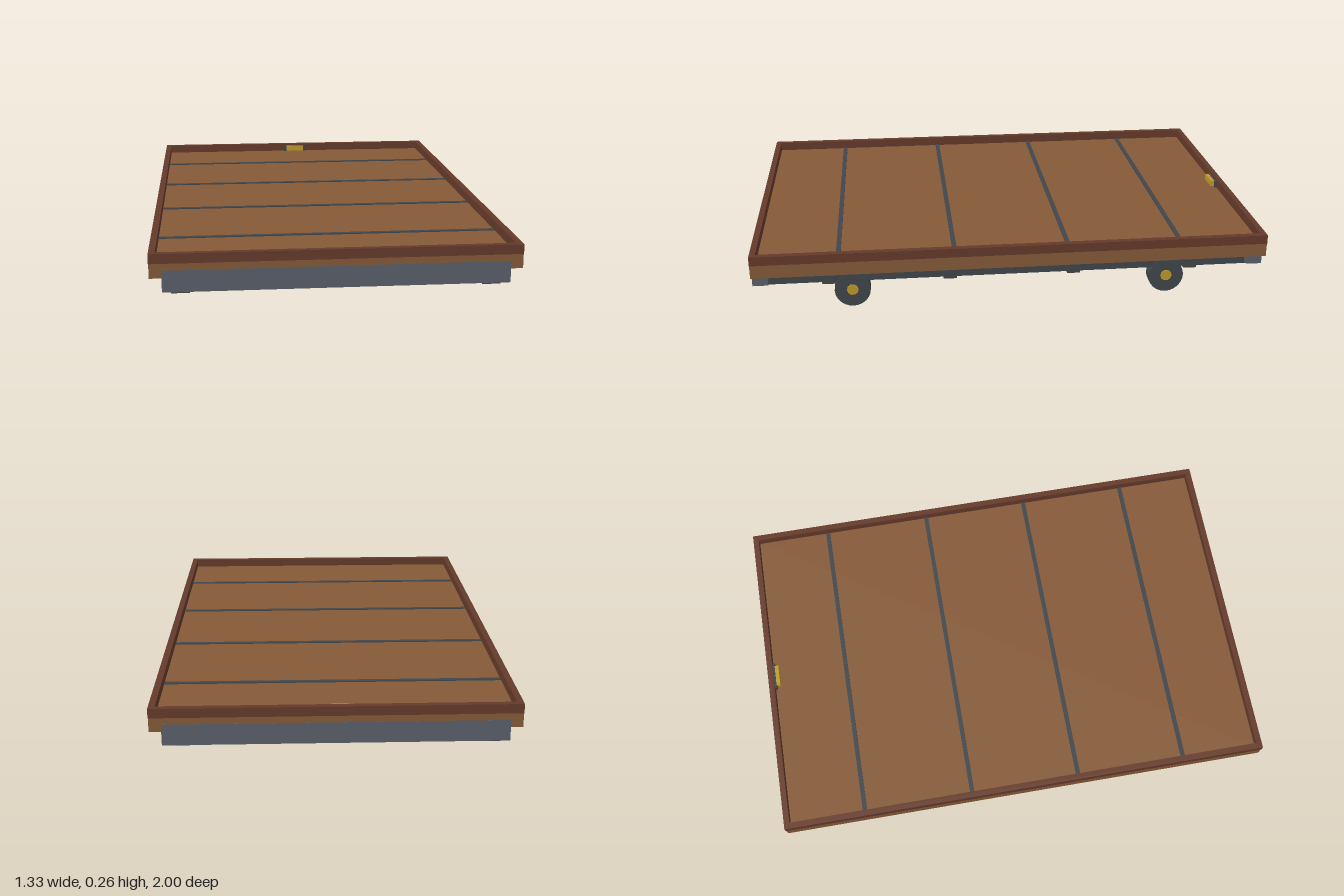
import * as THREE from 'three';

const material = (name, color, flatShading = false) => {
  const m = new THREE.MeshStandardMaterial({ color, flatShading });
  m.name = name;
  return m;
};

export function createModel() {
  const wood = material('deckWood', 0x855a38);
  const rimWood = material('rimWood', 0x653a2b);
  const steel = material('steel', 0x5a616b);
  const iron = material('darkIron', 0x40464b);
  const brass = material('brass', 0xbf9a2c);

  const group = new THREE.Group();
  group.name = 'flatCart';

  const add = (name, geometry, mat, x, y, z) => {
    const mesh = new THREE.Mesh(geometry, mat);
    mesh.name = name;
    mesh.position.set(x, y, z);
    group.add(mesh);
    return mesh;
  };
  // Box given by its minimum and maximum on each axis
  const box = (name, mat, [x0, x1], [y0, y1], [z0, z1]) =>
    add(name, new THREE.BoxGeometry(x1 - x0, y1 - y0, z1 - z0), mat,
      (x0 + x1) / 2, (y0 + y1) / 2, (z0 + z1) / 2);
  // Cylinder lying along x
  const rod = (name, mat, radius, length, sides, x, y, z) => {
    const g = new THREE.CylinderGeometry(radius, radius, length, sides);
    g.rotateZ(Math.PI / 2);
    return add(name, g, mat, x, y, z);
  };

  // Deck
  box('deck', wood, [-0.666, 0.666], [0.17, 0.223], [-0.9995, 0.9995]);

  // Raised rim around the deck
  const outline = new THREE.Shape([
    new THREE.Vector2(-0.667, -1), new THREE.Vector2(0.667, -1),
    new THREE.Vector2(0.667, 1), new THREE.Vector2(-0.667, 1),
  ]);
  outline.holes.push(new THREE.Path([
    new THREE.Vector2(-0.643, -0.977), new THREE.Vector2(-0.643, 0.977),
    new THREE.Vector2(0.643, 0.977), new THREE.Vector2(0.643, -0.977),
  ]));
  const rim = new THREE.ExtrudeGeometry(outline, { depth: 0.036, bevelEnabled: false });
  rim.rotateX(-Math.PI / 2);
  add('rim', rim, rimWood, 0, 0.223, 0);

  // Seam strips and cross members
  for (const z of [-0.67, -0.223, 0.223, 0.67])
    box('seamStrip', iron, [-0.643, 0.643], [0.22, 0.227], [z - 0.009, z + 0.009]);
  for (const z of [-0.71, -0.243, 0.243, 0.71])
    box('crossMember', iron, [-0.62, 0.62], [0.112, 0.172], [z - 0.026, z + 0.026]);

  // Side rails
  for (const s of [-1, 1]) {
    const x = s * 0.558;
    box('sideRail', iron, [x - 0.033, x + 0.033], [0.107, 0.171], [-0.978, 0.978]);
  }

  for (const s of [-1, 1]) {
    // End beams
    const z = s * 0.97;
    box('endBeam', steel, [-0.622, 0.622], [0.118, 0.198], [z - 0.03, z + 0.03]);

    // Axles with a stiffening beam above
    const az = s * 0.622;
    box('axleBeam', steel, [-0.547, 0.547], [0.076, 0.108], [az - 0.018, az + 0.018]);
    rod('axle', steel, 0.02, 1.1, 12, 0, 0.072, az);

    // Wheels and hubs
    for (const side of [-1, 1]) {
      rod('wheel', iron, 0.07, 0.046, 24, side * 0.571, 0.07, az);
      rod('hub', brass, 0.023, 0.054, 10, side * 0.57, 0.071, az);
    }
  }

  // Latch on the inside of the rear rim
  box('latchPlate', iron, [-0.056, 0.056], [0.223, 0.252], [-0.978, -0.969]);
  box('latch', brass, [-0.043, 0.043], [0.226, 0.25], [-0.97, -0.953]);

  return group;
}
